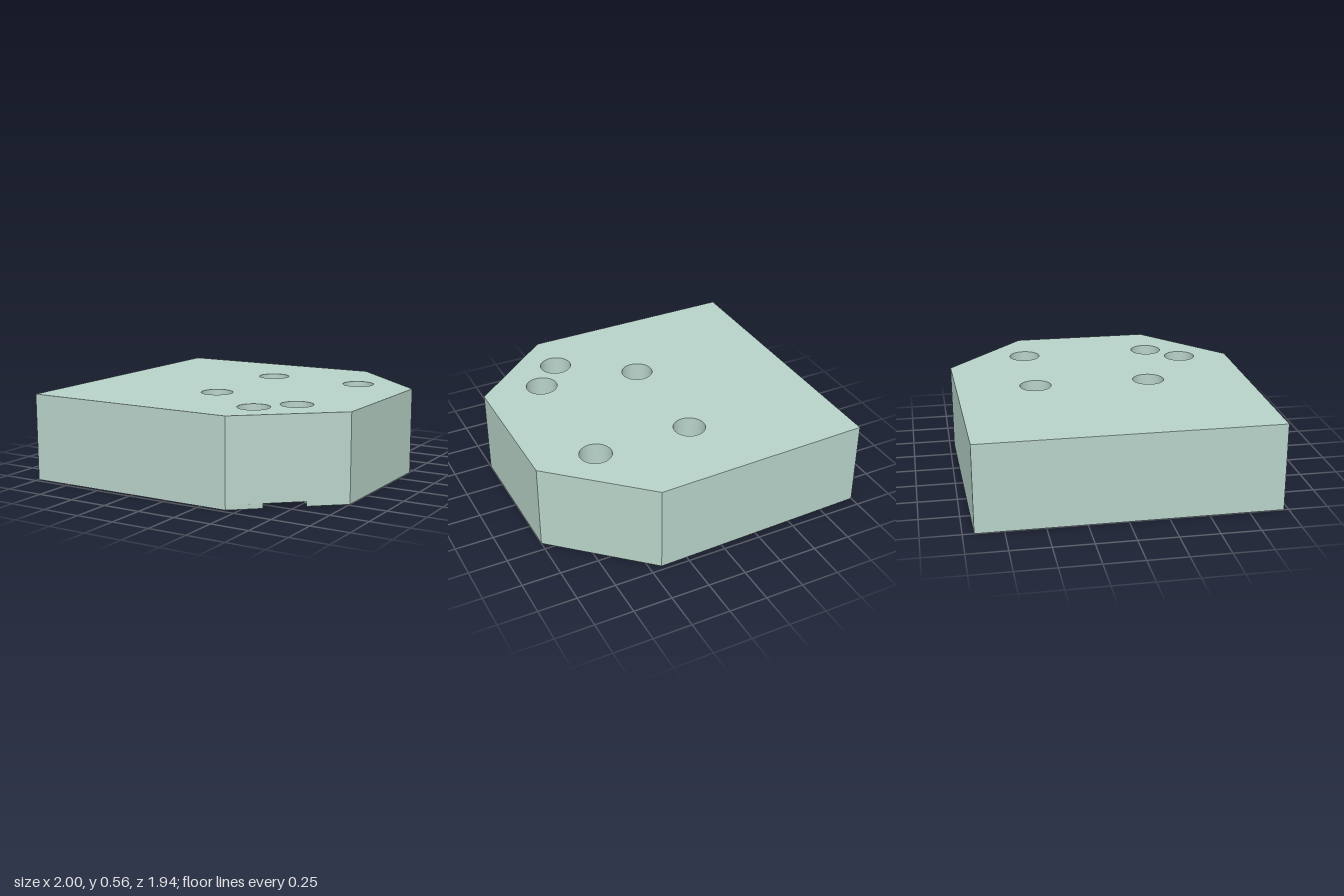
import * as THREE from 'three';
import { toCreasedNormals } from 'three/addons/utils/BufferGeometryUtils.js';

const HEIGHT = 0.565;
const RECESS_DEPTH = 0.03;
const HOLE_RADIUS = 0.103;

// Plan coordinates are [x, z]
const OUTLINE = [[-1, -0.93], [0.425, -0.97], [1, -0.44], [1, 0.48], [0.425, 0.97], [-1, 0.97]];
const HOLES = [[-0.04, -0.44], [0.61, -0.44], [-0.04, 0.315], [0.61, 0.435], [0.425, 0.64]];
const RECESS = { x: 0.661, z: 0.697, radius: 0.142, start: [0.798, 0.652], end: [0.592, 0.828] };

// Chamfered outline with through holes, optionally cut by the round edge recess
function planShape(withRecess) {
  const shape = new THREE.Shape();
  OUTLINE.forEach(([x, z], i) => {
    if (i === 0) shape.moveTo(x, z);
    else shape.lineTo(x, z);
    if (withRecess && i === 3) {
      const { x: cx, z: cz, radius, start, end } = RECESS;
      const angle = ([px, pz]) => Math.atan2(pz - cz, px - cx);
      shape.lineTo(...start);
      shape.absarc(cx, cz, radius, angle(start), angle(end), true);
      shape.lineTo(...end);
    }
  });
  shape.closePath();
  for (const [x, z] of HOLES) {
    shape.holes.push(new THREE.Path().absarc(x, z, HOLE_RADIUS, 0, Math.PI * 2, true));
  }
  return shape;
}

// Horizontal slab between two heights
function slab(name, shape, bottom, top, material) {
  const geometry = new THREE.ExtrudeGeometry(shape, {
    depth: top - bottom, bevelEnabled: false, curveSegments: 32,
  });
  geometry.rotateX(Math.PI / 2).translate(0, top, 0);
  const mesh = new THREE.Mesh(toCreasedNormals(geometry, 0.5), material);
  mesh.name = name;
  return mesh;
}

export function createModel() {
  const group = new THREE.Group();
  group.name = 'drilledBlock';
  const material = new THREE.MeshStandardMaterial({ color: 0xb8d3c9 });

  // Thin lower layer carries the recess; the main block closes it from above
  group.add(slab('recessedBase', planShape(true), 0, RECESS_DEPTH, material));
  group.add(slab('mainBlock', planShape(false), RECESS_DEPTH, HEIGHT, material));
  return group;
}
